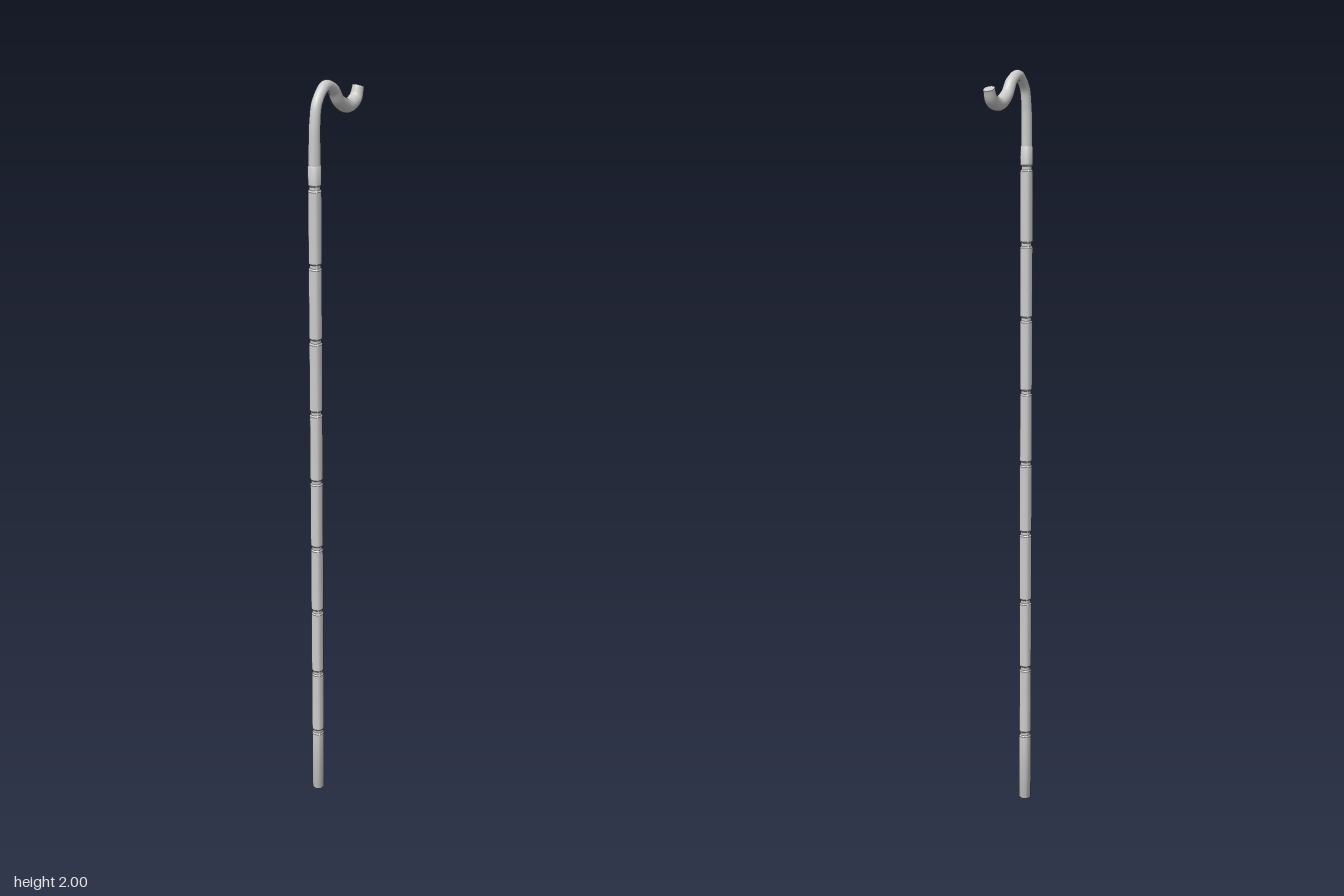
import * as THREE from 'three';
import { toCreasedNormals } from 'three/addons/utils/BufferGeometryUtils.js';

const material = new THREE.MeshStandardMaterial({ color: 0xcccccc });
const SHAFT_Z = 0.1, SHAFT_R = 0.0165, SHAFT_TOP = 1.81;

function addMesh(group, name, geometry) {
  const mesh = new THREE.Mesh(geometry, material);
  mesh.name = name;
  group.add(mesh);
  return mesh;
}

// Straight shaft: one lathe profile with evenly spaced grooves
function shaftGeometry() {
  const profile = [[0, 0], [0.015, 0], [SHAFT_R, 0.003]];
  for (let i = 1; i <= 9; i++) {
    const y = i * 0.195;
    profile.push([SHAFT_R, y - 0.008], [0.0138, y - 0.004], [0.0138, y + 0.004], [SHAFT_R, y + 0.008]);
  }
  profile.push([SHAFT_R, SHAFT_TOP - 0.003], [0.0152, SHAFT_TOP], [0, SHAFT_TOP]);
  const points = profile.map(([r, y]) => new THREE.Vector2(r, y));
  return toCreasedNormals(new THREE.LatheGeometry(points, 32), 0.5);
}

// Curved handle: tube whose rings follow a varying radius
function handleGeometry(curve, radii) {
  const rings = 96, sides = 24;
  const geometry = new THREE.TubeGeometry(curve, rings, 1, sides, false);
  const position = geometry.attributes.position;
  const v = new THREE.Vector3();
  for (let i = 0; i <= rings; i++) {
    const centre = curve.getPointAt(i / rings);
    const f = (i / rings) * (radii.length - 1);
    const k = Math.min(Math.floor(f), radii.length - 2);
    const r = THREE.MathUtils.lerp(radii[k], radii[k + 1], THREE.MathUtils.smoothstep(f - k, 0, 1));
    for (let j = 0; j <= sides; j++) {
      const n = i * (sides + 1) + j;
      v.fromBufferAttribute(position, n).sub(centre).multiplyScalar(r).add(centre);
      position.setXYZ(n, v.x, v.y, v.z);
    }
  }
  return geometry;
}

export function createModel() {
  const group = new THREE.Group();
  group.name = 'walkingCane';

  addMesh(group, 'shaft', shaftGeometry()).position.z = SHAFT_Z;

  // Handle path as [z, y]: up, over the crest, down into the dip, up to the tip
  const path = [
    [SHAFT_Z, 1.8], [SHAFT_Z, 1.86], [0.098, 1.91], [0.088, 1.955], [0.053, 1.986],
    [0.018, 1.973], [-0.008, 1.94], [-0.05, 1.919], [-0.087, 1.93], [-0.1, 1.957],
  ];
  const curve = new THREE.CatmullRomCurve3(path.map(([z, y]) => new THREE.Vector3(0, y, z)));
  const radii = [0.0152, 0.0148, 0.0142, 0.0136, 0.0134, 0.0142, 0.016, 0.0178, 0.0178, 0.015];
  addMesh(group, 'handle', handleGeometry(curve, radii));

  // Flat end of the handle
  const cap = addMesh(group, 'handleTip', new THREE.CircleGeometry(0.015, 24));
  const end = curve.getPointAt(1);
  cap.position.copy(end);
  cap.lookAt(end.clone().add(curve.getTangentAt(1)));

  return group;
}
